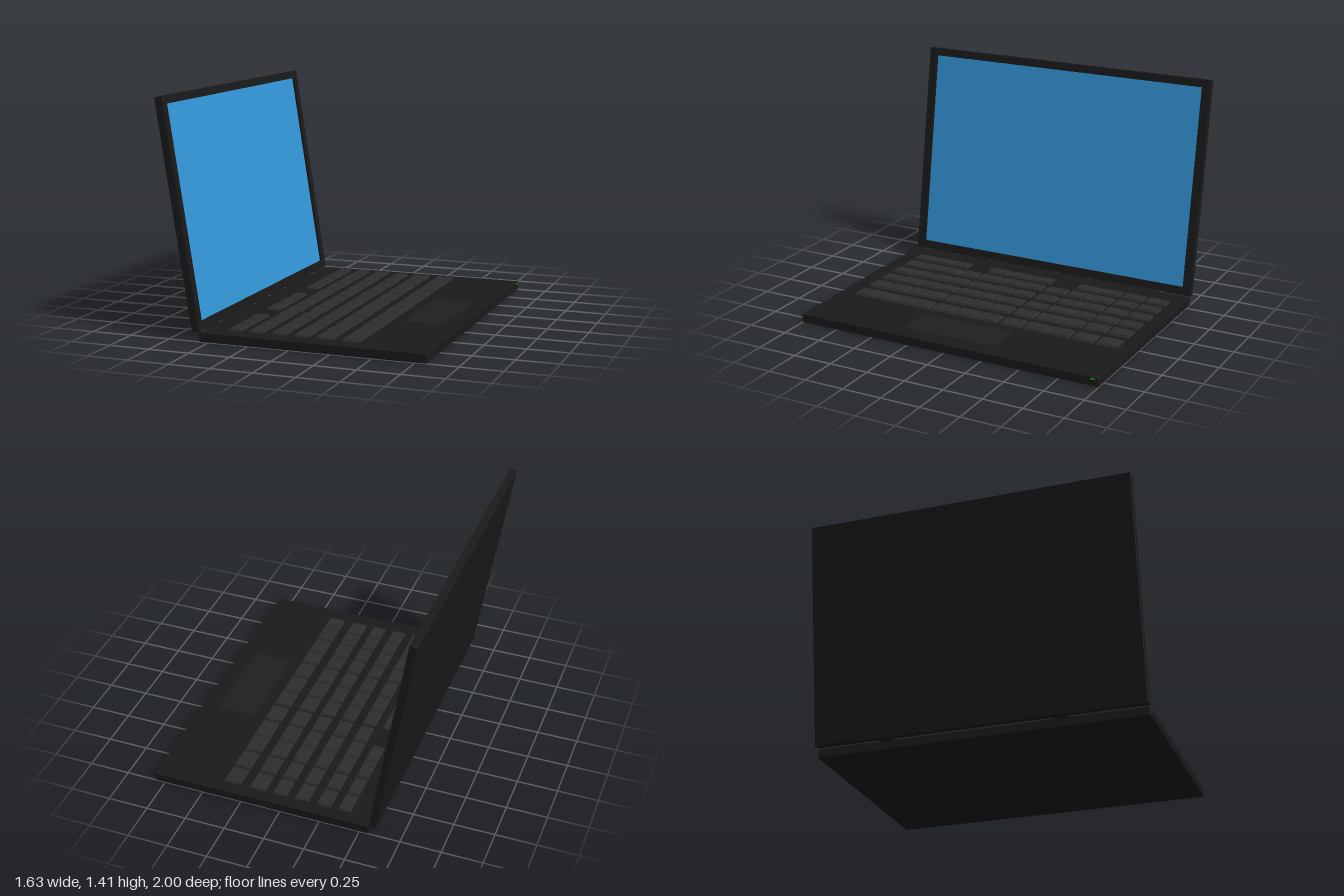
import * as THREE from 'three';
import { RoundedBoxGeometry } from 'three/addons/geometries/RoundedBoxGeometry.js';

const mat = (color) => new THREE.MeshStandardMaterial({ color });
const bodyMat = mat(0x1a1a1a);
const keyMat = mat(0x2d2d2d);
const padMat = mat(0x1f1f1f);
const screenMat = mat(0x3498db);
const lightMat = mat(0x22cc22);

function add(parent, name, geometry, material, x = 0, y = 0, z = 0) {
  const mesh = new THREE.Mesh(geometry, material);
  mesh.name = name;
  mesh.position.set(x, y, z);
  parent.add(mesh);
  return mesh;
}

// Key cap: a box whose top is narrower than its foot
function keyGeometry(w, h, d, taper) {
  const g = new THREE.BoxGeometry(w, h, d).toNonIndexed();
  const p = g.attributes.position;
  for (let i = 0; i < p.count; i++) {
    if (p.getY(i) > 0) continue;
    p.setX(i, p.getX(i) + Math.sign(p.getX(i)) * taper);
    p.setZ(i, p.getZ(i) + Math.sign(p.getZ(i)) * taper);
  }
  g.computeVertexNormals();
  return g;
}

function rectangle(path, x0, y0, x1, y1) {
  path.moveTo(x0, y0);
  path.lineTo(x1, y0);
  path.lineTo(x1, y1);
  path.lineTo(x0, y1);
  path.closePath();
  return path;
}

function createKeyboard() {
  const keyboard = new THREE.Group();
  keyboard.name = 'keyboard';
  // [start, end] of the key tops across the depth (x) and the width (z)
  const rows = [[-0.41, -0.345], [-0.285, -0.21], [-0.145, -0.07], [-0.005, 0.07], [0.13, 0.22], [0.29, 0.385]];
  const columns = [[-0.915, -0.79], [-0.76, -0.63], [-0.6, -0.465], [-0.445, -0.31], [-0.28, -0.15], [-0.115, 0.01],
    [0.035, 0.17], [0.195, 0.33], [0.36, 0.47], [0.495, 0.61], [0.635, 0.75], [0.77, 0.885]];
  rows.forEach(([x0, x1], r) => columns.forEach(([z0, z1], c) => {
    if (r === 0 && (c === 4 || c === 8)) return; // gaps between function key groups
    add(keyboard, 'key', keyGeometry(x1 - x0, 0.014, z1 - z0, 0.008), keyMat, (x0 + x1) / 2, 0.061, (z0 + z1) / 2);
  }));
  return keyboard;
}

function createLid() {
  const lid = new THREE.Group();
  lid.name = 'lid';
  const height = 1.368, thickness = 0.048, recess = 0.015;

  // Back shell
  add(lid, 'lidShell', new RoundedBoxGeometry(thickness - recess, height, 2, 2, 0.004), bodyMat,
    -(thickness + recess) / 2, height / 2, 0);

  // Bezel frame standing proud of the display
  const frame = rectangle(new THREE.Shape(), -1, 0, 1, height);
  frame.holes.push(rectangle(new THREE.Path(), -0.945, 0.05, 0.945, 1.32));
  const bezel = new THREE.ExtrudeGeometry(frame, { depth: recess + 0.006, bevelEnabled: false });
  bezel.rotateY(Math.PI / 2);
  add(lid, 'bezel', bezel, bodyMat, -recess - 0.006, 0, 0);

  // Display panel
  add(lid, 'screen', new THREE.BoxGeometry(0.003, 1.27, 1.89), screenMat, -recess - 0.0005, 0.685, 0);

  lid.position.set(-0.556, 0.06, 0);
  lid.rotation.z = THREE.MathUtils.degToRad(9);
  return lid;
}

export function createModel() {
  const laptop = new THREE.Group();
  laptop.name = 'laptop';

  // Base
  add(laptop, 'base', new RoundedBoxGeometry(1.37, 0.055, 2, 2, 0.004), bodyMat, 0.13, 0.0275, 0);
  laptop.add(createKeyboard());
  add(laptop, 'trackpad', new THREE.BoxGeometry(0.25, 0.004, 0.62), padMat, 0.585, 0.0545, 0.03);
  add(laptop, 'statusLight', new THREE.BoxGeometry(0.002, 0.008, 0.03), lightMat, 0.815, 0.043, -0.963);

  // Hinges and lid
  for (const z of [-0.56, 0.49]) {
    const barrel = new THREE.CylinderGeometry(0.01, 0.01, 0.08, 16).rotateX(Math.PI / 2);
    add(laptop, 'hinge', barrel, bodyMat, -0.557, 0.056, z);
  }
  laptop.add(createLid());
  return laptop;
}
